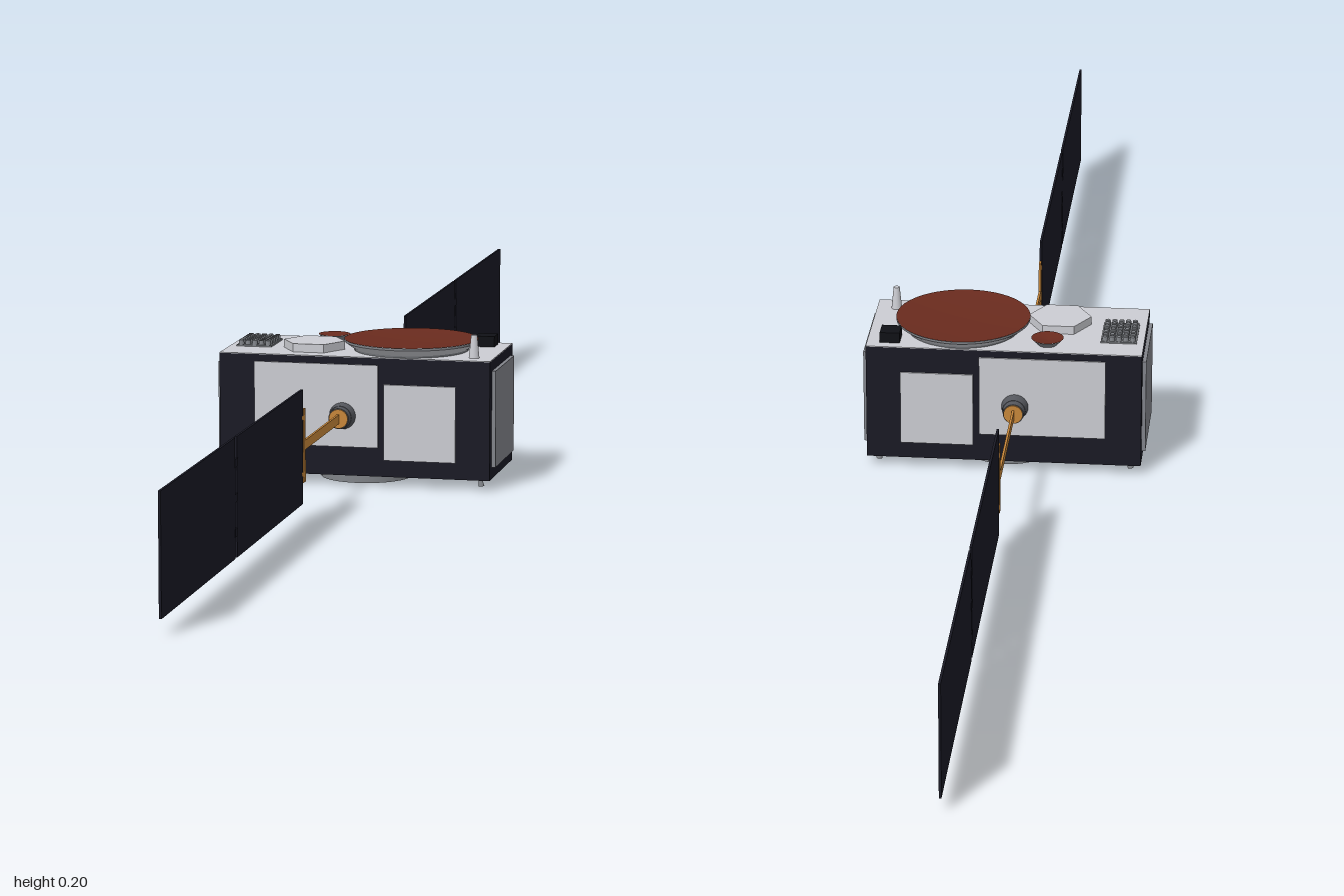
import * as THREE from 'three';

const mat = (name, color, side = THREE.FrontSide) => {
  const m = new THREE.MeshStandardMaterial({ color, side });
  m.name = name;
  return m;
};

export function createModel() {
  const model = new THREE.Group();
  model.name = 'satellite';
  const dark = mat('dark blanket', 0x1a1a25);
  const light = mat('light radiator', 0xcccdd3);
  const grey = mat('side radiator grey', 0x82848b);
  const metal = mat('metal grey', 0x808388);
  const jointGrey = mat('joint dark grey', 0x55575d);
  const brown = mat('reflector brown', 0x6a2b1e, THREE.DoubleSide);
  const gold = mat('yoke gold', 0xc8873a);
  const black = mat('black', 0x101116);

  const add = (parent, name, geo, material, x = 0, y = 0, z = 0) => {
    const m = new THREE.Mesh(geo, material);
    m.name = name;
    m.position.set(x, y, z);
    parent.add(m);
    return m;
  };
  const box = (w, h, d) => new THREE.BoxGeometry(w, h, d);
  const cyl = (rt, rb, h, n = 24) => new THREE.CylinderGeometry(rt, rb, h, n);
  const bowl = pts => new THREE.LatheGeometry(pts.map(p => new THREE.Vector2(...p)), 48);

  // Bus with light top deck
  add(model, 'body', box(0.36, 0.156, 0.156), dark, 0, 0.091, 0);
  add(model, 'topDeck', box(0.36, 0.001, 0.156), light, 0, 0.1695, 0);

  // Raised radiators on both ends
  for (const s of [-1, 1])
    add(model, 'endRadiator', box(0.006, 0.127, 0.128), grey, s * 0.182, 0.092, 0);

  // Launch adapter ring and corner thrusters underneath
  add(model, 'adapterRing', cyl(0.06, 0.06, 0.014, 48), metal, 0, 0.007, 0);
  for (const sx of [-1, 1]) for (const sz of [-1, 1]) {
    const t = add(model, 'thruster', cyl(0.002, 0.004, 0.012, 12), metal, sx * 0.165, 0.0085, sz * 0.06);
    t.rotation.z = sx * 0.15;
  }

  // Main reflector: brown bowl on a grey shell with a thin rim
  const dish = new THREE.Group();
  dish.name = 'mainReflector';
  dish.position.set(0.06, 0.17, 0);
  model.add(dish);
  add(dish, 'dishShell', new THREE.CylinderGeometry(0.079, 0.075, 0.011, 48, 1, true), metal, 0, 0.0055, 0);
  add(dish, 'dishUnderside', bowl([[0.073, 0.0005], [0.088, 0.0115]]), light);
  add(dish, 'dishRim', new THREE.CylinderGeometry(0.088, 0.088, 0.003, 48, 1, true), metal, 0, 0.013, 0);
  add(dish, 'dishBowl', bowl([[0.088, 0.0146], [0.06, 0.0128], [0.03, 0.0118], [0, 0.0115]]), brown);

  // Small reflector
  const small = new THREE.Group();
  small.name = 'smallReflector';
  small.position.set(-0.055, 0.17, -0.05);
  model.add(small);
  add(small, 'smallShell', bowl([[0.012, 0], [0.021, 0.009]]), metal);
  add(small, 'smallBowl', bowl([[0.021, 0.0092], [0.01, 0.007], [0, 0.006]]), brown);

  // Faceted hexagonal antenna with a corner pointing along x
  const hexGeo = cyl(0.041, 0.041, 0.011, 6).toNonIndexed();
  hexGeo.computeVertexNormals();
  add(model, 'hexAntenna', hexGeo, light, -0.066, 0.1755, 0.02).rotation.y = Math.PI / 2;

  // Array of small feed cones
  const array = new THREE.Group();
  array.name = 'feedArray';
  model.add(array);
  add(array, 'arrayBase', box(0.047, 0.002, 0.064), metal, -0.147, 0.171, -0.008);
  for (let i = 0; i < 5; i++) for (let j = 0; j < 7; j++)
    add(array, 'feedCone', cyl(0.0032, 0.004, 0.006, 8), metal, -0.165 + i * 0.009, 0.175, -0.035 + j * 0.009);

  // Black sensor and tapered mast near the +x end
  add(model, 'sensor', box(0.026, 0.014, 0.026), black, 0.15, 0.177, -0.052);
  add(model, 'mast', cyl(0.004, 0.007, 0.03, 16), light, 0.154, 0.185, 0.052);

  // Each long face carries radiators and a two-panel solar wing
  for (const s of [-1, 1]) {
    add(model, 'wideRadiator', box(0.165, 0.109, 0.003), light, -0.0505, 0.1055, s * 0.0785);
    add(model, 'narrowRadiator', box(0.095, 0.1, 0.003), light, 0.0875, 0.085, s * 0.0785);

    const wing = new THREE.Group();
    wing.name = s > 0 ? 'frontWing' : 'backWing';
    wing.position.set(-0.015, 0.092, 0);
    if (s < 0) wing.rotation.y = Math.PI;
    model.add(wing);

    // Rotating joint with a gold face
    const along = (name, geo, material, z) => {
      add(wing, name, geo, material, 0, 0, z).rotation.x = Math.PI / 2;
    };
    along('jointBase', cyl(0.015, 0.018, 0.015), jointGrey, 0.0855);
    along('jointCollar', cyl(0.0135, 0.0145, 0.01), jointGrey, 0.098);
    along('jointCap', cyl(0.0125, 0.0125, 0.002), gold, 0.104);

    // Flat arm and crossbar with two brackets to the inner panel
    add(wing, 'arm', box(0.003, 0.012, 0.194), gold, 0, 0, 0.201);
    add(wing, 'crossbar', box(0.003, 0.094, 0.01), gold, 0, 0, 0.3);
    for (const y of [-0.036, 0.036])
      add(wing, 'bracket', box(0.003, 0.007, 0.014), gold, 0, y, 0.308);

    // Solar panels and the hinges across the gap between them
    for (const z of [0.4805, 0.8295])
      add(wing, 'solarPanel', box(0.003, 0.146, 0.341), dark, 0, 0, z);
    for (const y of [-0.042, 0, 0.042])
      add(wing, 'hinge', box(0.004, 0.01, 0.014), dark, 0, y, 0.655);
  }
  return model;
}
